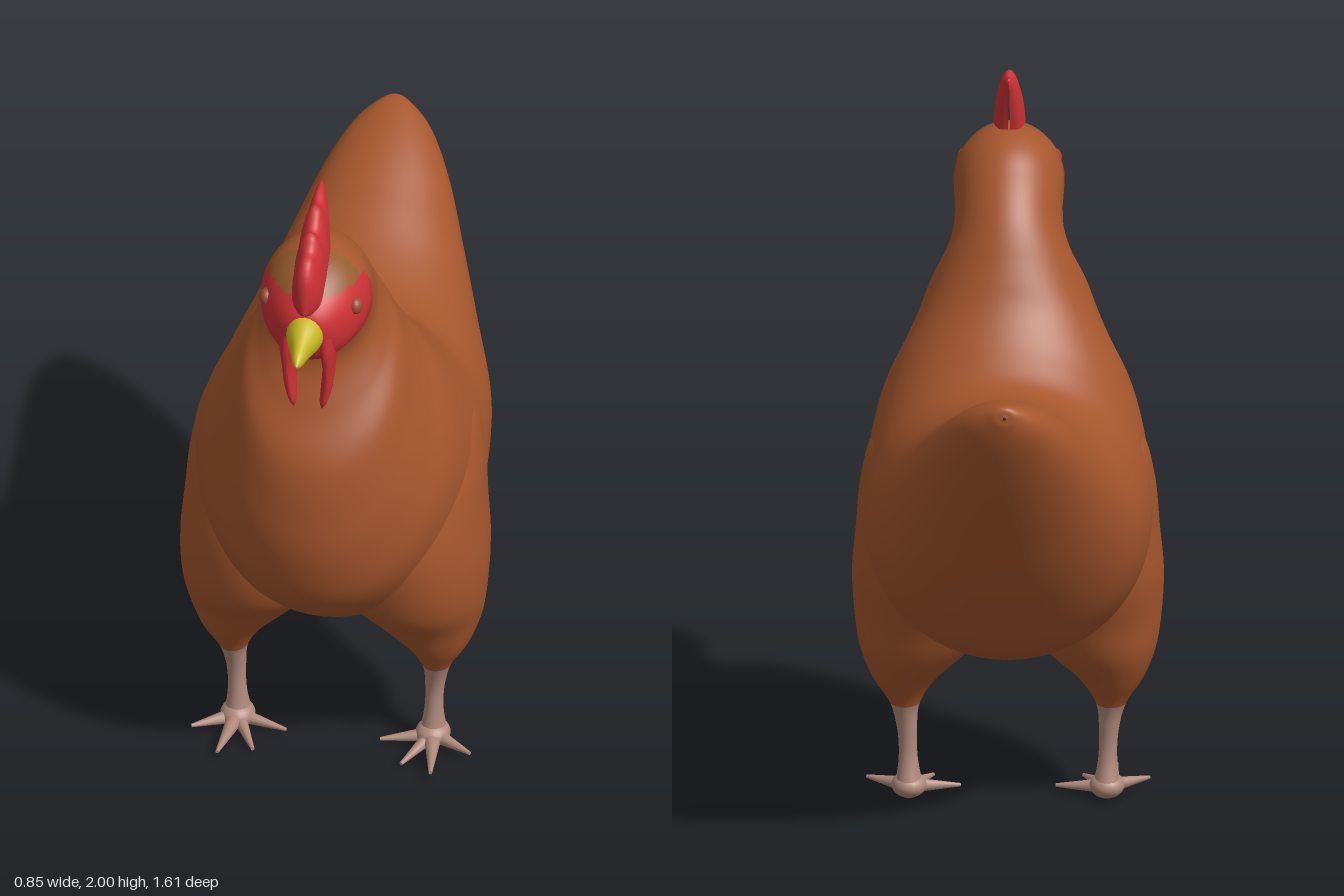
import * as THREE from 'three';

const mat = (name, color) => Object.assign(new THREE.MeshStandardMaterial({ color }), { name });

// Smooth loft through elliptical rings [cx, cy, cz, halfWidthX, axisY, axisZ];
// pick(x, y, z) gives the material index of each quad.
function loft(rings, sides, steps, pick = () => 0) {
  const centres = new THREE.CatmullRomCurve3(rings.map(r => new THREE.Vector3(r[0], r[1], r[2])), false, 'catmullrom', 0.5);
  const axes = new THREE.CatmullRomCurve3(rings.map(r => new THREE.Vector3(r[3], r[4], r[5])), false, 'catmullrom', 0.5);
  const rows = (rings.length - 1) * steps;
  const pos = [];
  for (let i = 0; i <= rows; i++) {
    const c = centres.getPoint(i / rows), a = axes.getPoint(i / rows);
    for (let j = 0; j < sides; j++) {
      const t = (j / sides) * Math.PI * 2, s = Math.sin(t);
      pos.push(c.x + a.x * Math.cos(t), c.y + a.y * s, c.z + a.z * s);
    }
  }
  const buckets = [[], [], []];
  for (let i = 0; i < rows; i++) {
    for (let j = 0; j < sides; j++) {
      const k = (j + 1) % sides;
      const a = i * sides + j, b = i * sides + k, c = b + sides, d = a + sides;
      const mid = n => (pos[a * 3 + n] + pos[c * 3 + n]) / 2;
      buckets[pick(mid(0), mid(1), mid(2))].push(a, b, c, a, c, d);
    }
  }
  const geo = new THREE.BufferGeometry();
  geo.setAttribute('position', new THREE.Float32BufferAttribute(pos, 3));
  geo.setIndex(buckets.flat());
  let start = 0;
  buckets.forEach((list, m) => {
    if (list.length) geo.addGroup(start, list.length, m);
    start += list.length;
  });
  geo.computeVertexNormals();
  return geo;
}

export function createModel() {
  const group = new THREE.Group();
  const feather = mat('feather brown', 0xa6562d);
  const red = mat('comb red', 0xcd3034);
  const crown = mat('crown brown', 0x94592c);
  const yellow = mat('beak yellow', 0xc8b820);
  const skin = mat('leg pink', 0xb0897b);
  const eyeMat = mat('eye brown', 0x9c4a34);
  const add = (name, geo, material, parent = group) => {
    const mesh = new THREE.Mesh(geo, material);
    mesh.name = name;
    parent.add(mesh);
    return mesh;
  };

  // Body from tail to face: [back z, back y, front z, front y, half width]
  const sections = [
    [-0.803, 1.44, -0.803, 1.43, 0.004],
    [-0.79, 1.465, -0.80, 1.40, 0.04],
    [-0.72, 1.455, -0.77, 1.32, 0.108],
    [-0.60, 1.42, -0.69, 1.17, 0.175],
    [-0.45, 1.36, -0.57, 0.98, 0.238],
    [-0.30, 1.30, -0.42, 0.77, 0.303],
    [-0.17, 1.27, -0.22, 0.565, 0.367],
    [-0.08, 1.28, 0.00, 0.46, 0.39],
    [0.00, 1.34, 0.20, 0.44, 0.395],
    [0.055, 1.40, 0.40, 0.55, 0.378],
    [0.09, 1.45, 0.55, 0.69, 0.348],
    [0.12, 1.51, 0.61, 0.85, 0.295],
    [0.145, 1.56, 0.62, 1.00, 0.255],
    [0.17, 1.61, 0.60, 1.17, 0.218],
    [0.20, 1.66, 0.53, 1.31, 0.177],
    [0.24, 1.71, 0.48, 1.43, 0.152],
    [0.29, 1.76, 0.49, 1.50, 0.147],
    [0.35, 1.81, 0.53, 1.52, 0.15],
    [0.43, 1.84, 0.57, 1.54, 0.15],
    [0.52, 1.835, 0.62, 1.56, 0.13],
    [0.60, 1.80, 0.65, 1.59, 0.095],
    [0.66, 1.74, 0.67, 1.64, 0.05],
    [0.675, 1.69, 0.675, 1.68, 0.004],
  ];
  // Ring between an upper and a lower point of the side profile
  const section = ([bz, by, fz, fy, w]) =>
    [0, (by + fy) / 2, (bz + fz) / 2, w, (by - fy) / 2, (bz - fz) / 2];
  const facePaint = (x, y, z) => {
    if (y > 1.77) return z > 0.49 ? 2 : 0;
    const onFace = y > 1.4 && z > 0.43 + Math.max(0, y - 1.62) * 0.25;
    return onFace && (y > 1.59 || z > 0.53) ? 1 : 0;
  };
  add('body', loft(sections.map(section), 72, 8, facePaint), [feather, red, crown]);

  // Comb from rear to front: [tip z, tip y, root z, root y, half width]
  const combRings = [
    [0.388, 1.985, 0.45, 1.78, 0.003],
    [0.394, 2.0, 0.455, 1.78, 0.026],
    [0.43, 1.993, 0.48, 1.78, 0.038],
    [0.47, 1.977, 0.50, 1.78, 0.042],
    [0.505, 1.988, 0.525, 1.78, 0.044],
    [0.55, 1.942, 0.56, 1.78, 0.045],
    [0.58, 1.95, 0.58, 1.78, 0.045],
    [0.61, 1.915, 0.60, 1.775, 0.044],
    [0.65, 1.90, 0.625, 1.77, 0.042],
    [0.68, 1.85, 0.645, 1.76, 0.036],
    [0.687, 1.77, 0.66, 1.74, 0.02],
    [0.687, 1.745, 0.67, 1.735, 0.002],
  ];
  add('comb', loft(combRings.map(([tz, ty, rz, ry, w]) => [0, ry, rz, w, ty - ry, tz - rz]), 32, 4), red);

  // Beak, hooked slightly downwards
  add('beak', loft([
    [0, 1.67, 0.64, 0.054, 0.064, 0],
    [0, 1.67, 0.68, 0.048, 0.056, 0],
    [0, 1.665, 0.73, 0.029, 0.038, 0],
    [0, 1.66, 0.78, 0.015, 0.02, 0],
    [0, 1.657, 0.803, 0.001, 0.002, 0],
  ], 20, 4), yellow);

  for (const s of [1, -1]) {
    const side = s > 0 ? 'left' : 'right';

    const eye = add(side + 'Eye', new THREE.SphereGeometry(0.025, 20, 14), eyeMat);
    eye.scale.x = 0.8;
    eye.position.set(s * 0.123, 1.715, 0.563);

    add(side + 'Wattle', loft([
      [s * 0.052, 1.66, 0.6, 0.03, 0, 0.065],
      [s * 0.055, 1.60, 0.595, 0.024, 0, 0.072],
      [s * 0.056, 1.54, 0.592, 0.017, 0, 0.06],
      [s * 0.051, 1.47, 0.598, 0.016, 0, 0.038],
      [s * 0.043, 1.42, 0.608, 0.011, 0, 0.02],
      [s * 0.039, 1.395, 0.612, 0.001, 0, 0.001],
    ], 20, 4), red);

    // Leg: broad feathered thigh merging with the flank, running into a bare shank
    const leg = new THREE.Group();
    leg.name = side + 'Leg';
    group.add(leg);
    add(side + 'ThighAndShank', loft([
      [s * 0.19, 1.15, 0.10, 0.03, 0, 0.03],
      [s * 0.19, 1.08, 0.11, 0.167, 0, 0.20],
      [s * 0.19, 0.95, 0.13, 0.21, 0, 0.285],
      [s * 0.20, 0.80, 0.155, 0.214, 0, 0.295],
      [s * 0.21, 0.67, 0.17, 0.215, 0, 0.27],
      [s * 0.22, 0.55, 0.18, 0.20, 0, 0.222],
      [s * 0.25, 0.45, 0.165, 0.155, 0, 0.162],
      [s * 0.28, 0.36, 0.17, 0.092, 0, 0.105],
      [s * 0.281, 0.28, 0.172, 0.042, 0, 0.055],
      [s * 0.275, 0.20, 0.168, 0.027, 0, 0.03],
      [s * 0.272, 0.12, 0.168, 0.026, 0, 0.027],
      [s * 0.27, 0.04, 0.165, 0.038, 0, 0.042],
    ], 48, 6, (x, y) => (y < 0.28 ? 1 : 0)), [feather, skin]);

    // Foot pad and toes [tip x, tip y, tip z, root radius]
    const pad = add(side + 'FootPad', new THREE.SphereGeometry(1, 20, 14), skin, leg);
    pad.scale.set(0.048, 0.036, 0.052);
    pad.position.set(s * 0.27, 0.04, 0.172);
    const toes = [[0.385, 0.035, 0.25, 0.024], [0.295, 0.035, 0.36, 0.026], [0.205, 0.02, 0.31, 0.022], [0.13, 0.025, 0.21, 0.022]];
    for (const [x, y, z, r] of toes) {
      const root = new THREE.Vector3(s * 0.27, 0.036, 0.175), tip = new THREE.Vector3(s * x, y, z);
      const dir = tip.clone().sub(root);
      const toe = add(side + 'Toe', new THREE.CylinderGeometry(0.005, r, dir.length(), 12), skin, leg);
      toe.position.copy(root).addScaledVector(dir, 0.5);
      toe.quaternion.setFromUnitVectors(new THREE.Vector3(0, 1, 0), dir.normalize());
    }
  }
  return group;
}
